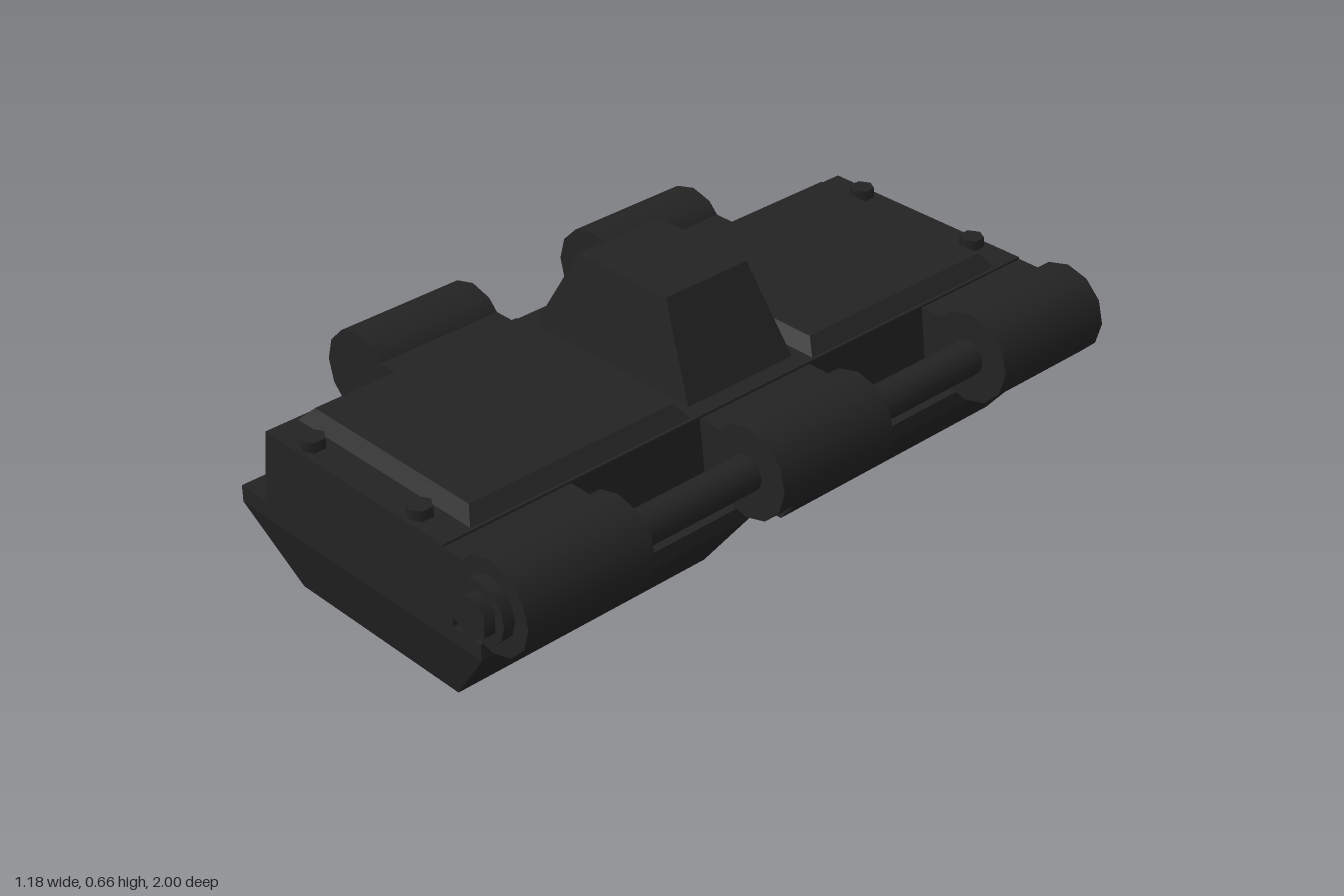
import * as THREE from 'three';

const steel = new THREE.MeshStandardMaterial({ color: 0x232323 });
steel.name = 'dark steel';

// Tapered block: each end is [y, halfWidthX, zMin, zMax]
function taper([yb, xb, zb0, zb1], [yt, xt, zt0, zt1]) {
  const geo = new THREE.BoxGeometry(2, 2, 2).toNonIndexed();
  const p = geo.attributes.position;
  for (let i = 0; i < p.count; i++) {
    const top = p.getY(i) > 0, far = p.getZ(i) > 0;
    p.setXYZ(i, p.getX(i) * (top ? xt : xb), top ? yt : yb,
      top ? (far ? zt1 : zt0) : (far ? zb1 : zb0));
  }
  geo.computeVertexNormals();
  return geo;
}

export function createModel() {
  const group = new THREE.Group();
  const add = (name, geo, x = 0, y = 0, z = 0) => {
    const mesh = new THREE.Mesh(geo, steel);
    mesh.name = name;
    mesh.position.set(x, y, z);
    group.add(mesh);
    return mesh;
  };
  const rod = (name, x, y, z0, z1, radius, sides) =>
    add(name, new THREE.CylinderGeometry(radius, radius, z1 - z0, sides).rotateX(Math.PI / 2),
      x, y, (z0 + z1) / 2);

  // Body: flange, upper block, bridge over the gap and guide tooth
  add('flange', new THREE.BoxGeometry(0.862, 0.045, 1.88), 0, 0.2125, 0);
  add('upperBody', taper([0.235, 0.34, -0.94, 0.94], [0.435, 0.315, -0.94, 0.94]));
  add('bridge', taper([0.08, 0.14, -0.13, 0.13], [0.19, 0.431, -0.13, 0.13]));
  add('guideTooth', taper([0.435, 0.267, -0.17, 0.17], [0.66, 0.15, -0.13, 0.13]));

  // Ground pads, raised panels and bolts, one set per end
  for (const s of [-1, 1]) {
    const span = (a, b) => (s > 0 ? [a, b] : [-b, -a]);
    add('groundPad', taper([0, 0.283, ...span(0.13, 0.89)], [0.19, 0.431, ...span(0.13, 0.94)]));
    add('raisedPanel', taper([0.435, 0.305, ...span(0.2, 0.855)], [0.47, 0.272, ...span(0.225, 0.83)]));
    for (const x of [-0.19, 0.19]) {
      add('bolt', new THREE.CylinderGeometry(0.032, 0.032, 0.03, 6), x, 0.447, s * 0.9);
    }
  }

  // Hinge knuckles with their arms: three on the left, two on the right
  const knuckles = [
    [1, -0.94, -0.575], [1, -0.18, 0.18], [1, 0.575, 0.94],
    [-1, -0.555, -0.195], [-1, 0.195, 0.555],
  ];
  for (const [side, z0, z1] of knuckles) {
    rod('knuckle', side * 0.47, 0.355, z0, z1, 0.12, 12);
    add('knuckleArm', new THREE.BoxGeometry(0.17, 0.175, z1 - z0), side * 0.385, 0.3425, (z0 + z1) / 2);
  }

  // Hinge pin with washers and hex nuts
  rod('hingePin', 0.47, 0.355, -0.95, 0.95, 0.047, 12);
  for (const s of [-1, 1]) {
    rod('washer', 0.47, 0.355, s * 0.955 - 0.015, s * 0.955 + 0.015, 0.078, 12);
    rod('hexNut', 0.47, 0.355, s * 0.98 - 0.02, s * 0.98 + 0.02, 0.056, 6);
  }
  return group;
}
